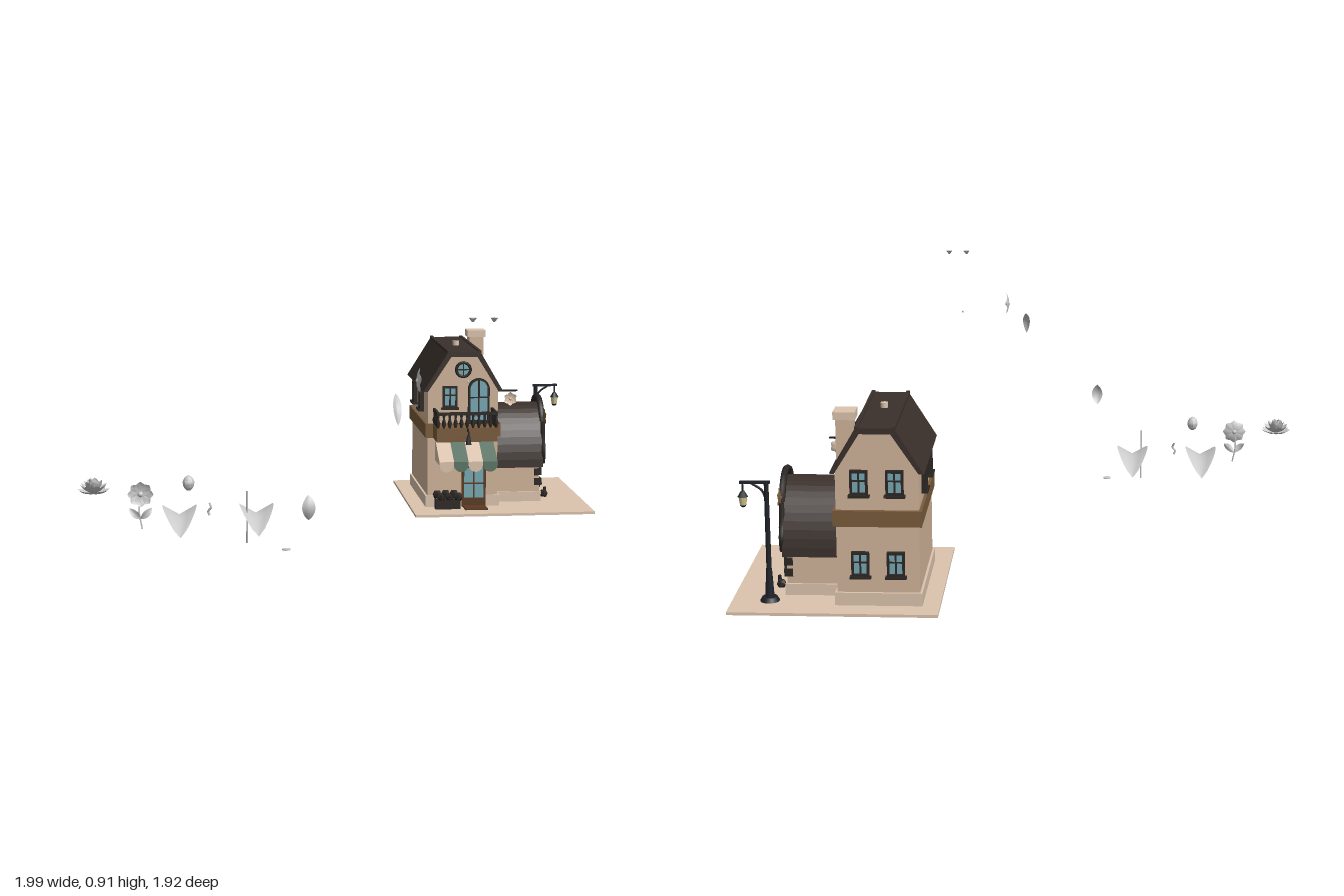
import * as THREE from 'three';

const WALL = 0xd2b59a, PALE = 0xdcc4ae, ROOF = 0x3a302b, DARK = 0x2b2724, BEAM = 0x7a5c3c,
  GLASS = 0x78aab4, GREEN = 0x5d7566, IRON = 0x1e2228, DOOR = 0x5b3a22, GREY = 0xcccccc;
const mats = {};
const mat = (color) => (mats[color] ??= new THREE.MeshStandardMaterial({ color, side: THREE.DoubleSide }));

function add(parent, name, geo, color, x = 0, y = 0, z = 0) {
  const m = new THREE.Mesh(geo, mat(color));
  m.name = name;
  m.position.set(x, y, z);
  parent.add(m);
  return m;
}
function group(parent, name, x = 0, y = 0, z = 0, ry = 0) {
  const g = new THREE.Group();
  g.name = name;
  g.position.set(x, y, z);
  g.rotation.y = ry;
  parent.add(g);
  return g;
}
// Box given by its limits
const box = (p, name, color, x0, x1, y0, y1, z0, z1) => add(p, name,
  new THREE.BoxGeometry(x1 - x0, y1 - y0, z1 - z0), color, (x0 + x1) / 2, (y0 + y1) / 2, (z0 + z1) / 2);
const cyl = (p, name, color, r0, r1, h, x, y, z, n = 12) =>
  add(p, name, new THREE.CylinderGeometry(r0, r1, h, n), color, x, y + h / 2, z);
const ball = (p, name, color, r, x, y, z) => add(p, name, new THREE.SphereGeometry(r, 10, 8), color, x, y, z);
const outline = (pts) => new THREE.Shape(pts.map(([a, b]) => new THREE.Vector2(a, b)));
const extrude = (shape, depth) => new THREE.ExtrudeGeometry(shape, { depth, bevelEnabled: false, curveSegments: 16 });
// Prism along x from a [z, y] outline
const prismX = (p, name, color, pts, x0, x1) =>
  add(p, name, extrude(outline(pts.map(([z, y]) => [-z, y])), x1 - x0).rotateY(Math.PI / 2), color, x0);
const tube = (p, name, color, pts, r) => add(p, name, new THREE.TubeGeometry(
  new THREE.CatmullRomCurve3(pts.map((a) => new THREE.Vector3(...a))), 20, r, 6), color);

// Pointed blade growing along +y, bulging to +z, edges raised by cup
function blade(len, w, bend, cup) {
  const g = new THREE.PlaneGeometry(2, 1, 4, 12), a = g.attributes.position;
  for (let i = 0; i < a.count; i++) {
    const u = a.getX(i), t = a.getY(i) + 0.5, s = Math.max(0, Math.sin(Math.PI * t));
    a.setXYZ(i, u * w * s ** 0.75, t * len, bend * s + cup * Math.abs(u) * s);
  }
  g.computeVertexNormals();
  return g;
}
// Ring of petals facing +z
function petals(p, n, len, w, tilt, color, turn = 0) {
  for (let i = 0; i < n; i++) {
    const m = add(p, 'petal', blade(len, w, -len * 0.1, len * 0.1), color);
    m.rotation.set(tilt, 0, turn + (i / n) * Math.PI * 2, 'ZXY');
  }
}
function flower(p, name, x, y, z, r, n, color = GREY) {
  const g = group(p, name, x, y, z);
  petals(g, n, r, r * 0.42, 0.2, color);
  ball(g, 'flowerCentre', color, r * 0.22, 0, 0, r * 0.1);
  return g;
}
// Window or glazed door facing +z, origin at the middle of the sill
function opening(p, name, x, y, z, ry, w, h, { arch = false, panel = 0, frame = DARK } = {}) {
  const g = group(p, name, x, y, z, ry), t = 0.008;
  const form = (hw, y0, top) => {
    const s = new THREE.Shape();
    s.moveTo(-hw, y0); s.lineTo(hw, y0); s.lineTo(hw, top);
    if (arch) s.absarc(0, top, hw, 0, Math.PI, false);
    else s.lineTo(-hw, top);
    return s;
  };
  const top = arch ? h - w / 2 : h, rim = form(w / 2, 0, top);
  rim.holes.push(form(w / 2 - t, t, arch ? top : top - t));
  add(g, 'frame', extrude(rim, 0.016), frame);
  add(g, 'glass', extrude(form(w / 2 - t, t, arch ? top : top - t), 0.008), GLASS);
  box(g, 'mullion', frame, -0.003, 0.003, 0, h - t / 2, 0, 0.013);
  box(g, 'crossBar', frame, -w / 2, w / 2, h * 0.55, h * 0.55 + 0.005, 0, 0.013);
  if (panel) box(g, 'doorPanel', DOOR, -w / 2, w / 2, 0, panel, 0, 0.014);
  else box(g, 'sill', frame, -w / 2 - 0.006, w / 2 + 0.006, -0.008, 0, 0, 0.022);
  return g;
}
function planter(p, name, x, z, w, h, n) {
  const g = group(p, name, x, 0.01, z);
  box(g, 'trough', DARK, -w / 2, w / 2, 0, h * 0.45, -0.015, 0.015);
  for (let i = 0; i < n; i++)
    add(g, 'plant', new THREE.IcosahedronGeometry(h * 0.25, 0), DARK, -w / 2 + (w * (i + 0.5)) / n, h * (i % 2 ? 0.58 : 0.72), 0);
}

function mainHouse(root) {
  const g = group(root, 'mainHouse');
  add(g, 'walls', extrude(outline([[0.35, 0], [0.63, 0], [0.63, 0.475], [0.545, 0.615], [0.44, 0.615], [0.35, 0.475]]), 0.465), WALL, 0, 0, -0.87);
  box(g, 'plinth', PALE, 0.342, 0.638, 0, 0.055, -0.88, -0.398);
  box(g, 'floorBand', BEAM, 0.34, 0.64, 0.29, 0.345, -0.885, -0.393);
  add(g, 'gambrelRoof', extrude(outline([[0.33, 0.475], [0.428, 0.632], [0.555, 0.632], [0.647, 0.475],
    [0.63, 0.475], [0.545, 0.612], [0.44, 0.612], [0.348, 0.475]]), 0.5), ROOF, 0, 0, -0.887);
  for (const x of [0.43, 0.553]) box(g, 'roofRidge', ROOF, x - 0.006, x + 0.006, 0.622, 0.637, -0.889, -0.385);
  cyl(g, 'roofVent', PALE, 0.013, 0.013, 0.02, 0.49, 0.63, -0.605);
  box(g, 'chimney', WALL, 0.572, 0.63, 0.48, 0.65, -0.825, -0.765);
  box(g, 'chimneyCap', PALE, 0.563, 0.638, 0.645, 0.672, -0.833, -0.757);
  // Front openings
  opening(g, 'frontDoor', 0.535, 0.01, -0.405, 0, 0.095, 0.165, { panel: 0.035, frame: DOOR });
  opening(g, 'upperWindow', 0.437, 0.41, -0.405, 0, 0.058, 0.085);
  opening(g, 'archedBalconyDoor', 0.552, 0.35, -0.405, 0, 0.085, 0.175, { arch: true });
  add(g, 'roundWindowFrame', new THREE.TorusGeometry(0.028, 0.006, 8, 24), DARK, 0.49, 0.56, -0.4);
  add(g, 'roundWindowGlass', new THREE.CircleGeometry(0.028, 24), GLASS, 0.49, 0.56, -0.4);
  box(g, 'roundWindowBar', DARK, 0.488, 0.492, 0.535, 0.585, -0.4, -0.395);
  box(g, 'roundWindowBar', DARK, 0.465, 0.515, 0.558, 0.562, -0.4, -0.395);
  // Back and side windows
  for (const x of [0.43, 0.55]) for (const y of [0.115, 0.4])
    opening(g, 'backWindow', x, y, -0.87, Math.PI, 0.06, 0.085);
  for (const z of [-0.74, -0.55]) opening(g, 'sideWindow', 0.35, 0.385, z, -Math.PI / 2, 0.065, 0.08);
  // Balcony
  const b = group(g, 'balcony');
  box(b, 'balconyFloor', BEAM, 0.37, 0.61, 0.29, 0.345, -0.4, -0.285);
  const rail = (x0, x1, z0, z1) => box(b, 'handrail', DARK, x0 - 0.005, x1 + 0.005, 0.395, 0.407, z0 - 0.005, z1 + 0.005);
  rail(0.375, 0.605, -0.292, -0.292);
  const post = (x, z) => add(b, 'baluster', new THREE.LatheGeometry(
    [[0.004, 0], [0.009, 0.018], [0.004, 0.036], [0.006, 0.052]].map(([r, y]) => new THREE.Vector2(r, y)), 8), DARK, x, 0.345, z);
  for (let i = 0; i < 11; i++) post(0.375 + i * 0.023, -0.292);
  for (const x of [0.375, 0.605]) {
    rail(x, x, -0.4, -0.292);
    for (let i = 1; i < 5; i++) post(x, -0.292 - i * 0.024);
  }
  cyl(b, 'balconyLantern', IRON, 0.006, 0.012, 0.035, 0.49, 0.285, -0.255, 6);
  tube(b, 'lanternBracket', IRON, [[0.49, 0.335, -0.285], [0.49, 0.345, -0.265], [0.49, 0.318, -0.255]], 0.003);
  // Striped awning with scalloped edge
  const a = group(g, 'awning');
  for (let i = 0; i < 4; i++) {
    const w = 0.0575, x = 0.38 + i * w, c = i % 2 ? GREEN : PALE;
    prismX(a, 'awningStripe', c, [[-0.405, 0.285], [-0.28, 0.212], [-0.28, 0.198], [-0.405, 0.198]], x, x + w);
    add(a, 'scallop', new THREE.CylinderGeometry(w / 2, w / 2, 0.008, 12, 1, false, -Math.PI / 2, Math.PI).rotateX(Math.PI / 2), c, x + w / 2, 0.2, -0.284);
  }
  box(a, 'awningSide', GREEN, 0.608, 0.612, 0.198, 0.206, -0.405, -0.28);
  planter(g, 'frontPlanter', 0.425, -0.36, 0.1, 0.08, 6);
  box(g, 'doormat', DOOR, 0.49, 0.58, 0.01, 0.016, -0.39, -0.32);
  // Hanging flower sign
  const s = group(g, 'hangingSign');
  box(s, 'signBracket', IRON, 0.63, 0.71, 0.468, 0.474, -0.424, -0.417);
  flower(s, 'signFlower', 0.682, 0.438, -0.42, 0.028, 6, PALE);
}

function sideWing(root) {
  const g = group(root, 'sideWing'), zc = -0.628;
  const arc = (rz, ry, y0) => Array.from({ length: 25 }, (_, i) => {
    const t = (Math.PI * i) / 24;
    return [zc + rz * Math.cos(t), y0 + ry * Math.sin(t)];
  });
  prismX(g, 'wingWalls', WALL, [[zc + 0.148, 0], ...arc(0.148, 0.222, 0.15), [zc - 0.148, 0]], 0.6, 0.815);
  prismX(g, 'barrelRoof', ROOF, [...arc(0.165, 0.242, 0.15), ...arc(0.146, 0.22, 0.15).reverse()], 0.6, 0.828);
  prismX(g, 'wingPlinth', PALE, [[zc + 0.155, 0], [zc + 0.155, 0.05], [zc - 0.155, 0.05], [zc - 0.155, 0]], 0.6, 0.822);
  opening(g, 'wingWindow', 0.815, 0.27, zc, Math.PI / 2, 0.075, 0.072);
  opening(g, 'wingDoor', 0.815, 0.025, zc, Math.PI / 2, 0.085, 0.175, { panel: 0.07, frame: DOOR });
  prismX(g, 'pediment', BEAM, [[zc - 0.055, 0.203], [zc + 0.055, 0.203], [zc, 0.235]], 0.815, 0.845);
  box(g, 'doorStep', PALE, 0.81, 0.86, 0, 0.025, zc - 0.07, zc + 0.07);
  // Arched trim above the window
  add(g, 'archTrim', new THREE.TorusGeometry(0.105, 0.012, 6, 24, Math.PI).rotateY(Math.PI / 2), DARK, 0.832, 0.31, zc);
  for (const s of [-1, 1]) {
    flower(g, 'wallFlower', 0.835, 0.345, zc + s * 0.112, 0.036, 6, BEAM).rotation.y = Math.PI / 2;
    tube(g, 'vine', DARK, [[0.83, 0.33, zc + s * 0.13], [0.83, 0.26, zc + s * 0.14], [0.83, 0.21, zc + s * 0.158], [0.83, 0.165, zc + s * 0.145]], 0.009);
    cyl(g, 'wallLantern', IRON, 0.003, 0.014, 0.032, 0.84, 0.225, zc + s * 0.068, 6);
    box(g, 'lanternArm', IRON, 0.815, 0.842, 0.252, 0.257, zc + s * 0.068 - 0.003, zc + s * 0.068 + 0.003);
    for (const y of [0.075, 0.115])
      box(g, 'cornerStone', DARK, 0.795, 0.825, y, y + 0.028, zc + s * 0.137 - 0.015, zc + s * 0.137 + 0.015);
    cyl(g, 'stepPost', IRON, 0.006, 0.008, 0.04, 0.855, 0.01, zc + s * 0.068, 8);
    add(g, 'potPlant', new THREE.IcosahedronGeometry(0.018, 0), DARK, 0.845, 0.03, zc + s * 0.095);
  }
}

function streetLamp(root) {
  const g = group(root, 'streetLamp', 0.866, 0.01, -0.84);
  cyl(g, 'lampBase', IRON, 0.026, 0.034, 0.015, 0, 0, 0, 16);
  cyl(g, 'lampFoot', IRON, 0.01, 0.016, 0.1, 0, 0.015, 0);
  cyl(g, 'lampPole', IRON, 0.008, 0.009, 0.31, 0, 0.11, 0);
  box(g, 'lampArm', IRON, -0.012, 0.09, 0.414, 0.423, -0.005, 0.005);
  tube(g, 'armBrace', IRON, [[0, 0.35, 0], [0.015, 0.39, 0], [0.05, 0.415, 0]], 0.004);
  cyl(g, 'lanternHanger', IRON, 0.003, 0.003, 0.03, 0.08, 0.385, 0, 6);
  cyl(g, 'lanternCap', IRON, 0.006, 0.018, 0.02, 0.08, 0.368, 0, 8);
  cyl(g, 'lanternGlass', 0xd8c890, 0.015, 0.011, 0.028, 0.08, 0.34, 0, 8);
  cyl(g, 'lanternBottom', IRON, 0.012, 0.006, 0.008, 0.08, 0.332, 0, 8);
}

// Loose flowers, leaves and petals floating beside the house
function looseFlowers(root) {
  const g = group(root, 'looseFlowers');
  const bloom = group(g, 'fullBloom', -0.942, 0.265, 0.47);
  bloom.rotation.x = -Math.PI / 2;
  [[9, 0.06, 0.25], [8, 0.058, 0.6], [7, 0.056, 0.95], [5, 0.055, 1.3]].forEach(([n, len, tilt], i) =>
    petals(bloom, n, len, 0.019, tilt, GREY, i * 0.3));
  flower(g, 'daisy', -0.78, 0.262, 0.485, 0.046, 8);
  tube(g, 'daisyStem', GREY, [[-0.78, 0.255, 0.48], [-0.785, 0.2, 0.485], [-0.775, 0.14, 0.49]], 0.003);
  for (const s of [-1, 1])
    add(g, 'daisyLeaf', blade(0.055, 0.012, 0.006, 0.005), GREY, -0.78, 0.175, 0.49).rotation.z = s * 0.8;
  for (const x of [-0.645, -0.375])
    add(g, 'largeLeaf', blade(0.3, 0.06, 0.05, 0.035).rotateX(-Math.PI / 2), GREY, x, 0.125, 0.59);
  tube(g, 'looseStem', GREY, [[-0.41, 0.265, 0.485], [-0.41, 0.17, 0.482], [-0.41, 0.075, 0.46]], 0.003);
  const bud = group(g, 'bud', -0.613, 0.27, 0.48);
  ball(bud, 'budCore', GREY, 0.02, 0, 0.027, 0).scale.y = 1.35;
  for (let i = 0; i < 5; i++)
    add(bud, 'budPetal', blade(0.056, 0.013, 0.021, -0.004), GREY).rotation.y = i * Math.PI * 0.4;
  tube(g, 'tendril', GREY, [[-0.54, 0.22, 0.455], [-0.535, 0.205, 0.46], [-0.545, 0.19, 0.455], [-0.54, 0.177, 0.455]], 0.004);
  add(g, 'curvedPetal', blade(0.085, 0.022, 0.018, -0.008), GREY, -0.23, 0.255, 0.938);
  cyl(g, 'smallDisc', GREY, 0.015, 0.015, 0.004, -0.275, 0.058, 0.51);
  add(g, 'longPetal', blade(0.12, 0.014, 0.018, -0.005), GREY, 0.066, 0.563, 0.93).rotation.x = -0.635;
  flower(g, 'sideBlossom', 0.137, 0.7, 0.858, 0.044, 5).rotation.y = Math.PI / 2;
  for (const x of [0.313, 0.384]) cyl(g, 'tinyBlossom', GREY, 0.014, 0.003, 0.014, x, 0.898, 0.905, 6);
  ball(g, 'pollen', GREY, 0.004, 0.32, 0.683, 0.775);
}

export function createModel() {
  const root = new THREE.Group();
  root.name = 'flowerShop';
  box(root, 'groundPlate', PALE, 0.283, 0.995, 0, 0.01, -0.963, -0.246);
  mainHouse(root);
  sideWing(root);
  streetLamp(root);
  looseFlowers(root);
  return root;
}
